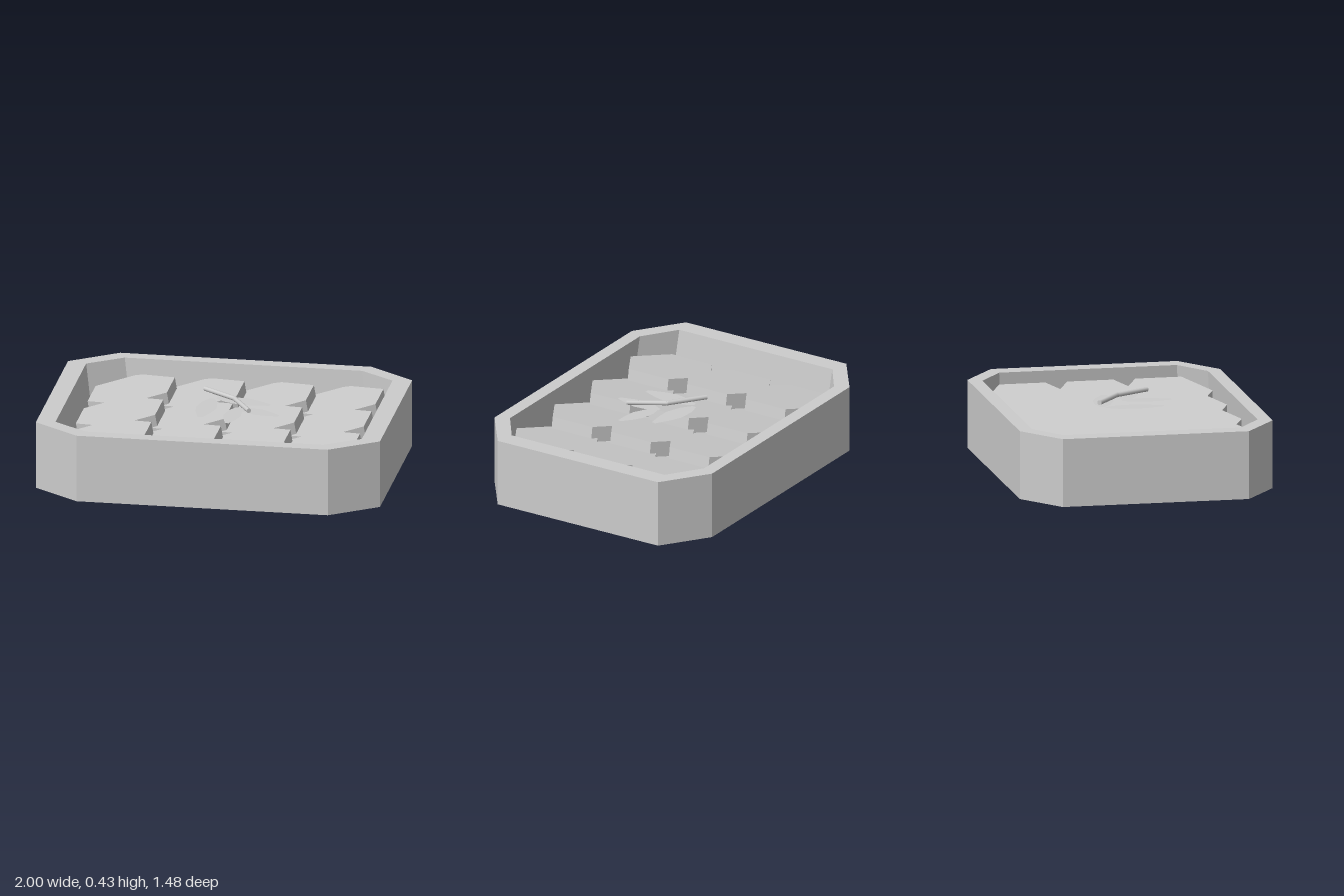
import * as THREE from 'three';

const mat = new THREE.MeshStandardMaterial({ color: 0xcccccc, flatShading: true, side: THREE.DoubleSide });
const smooth = new THREE.MeshStandardMaterial({ color: 0xcccccc });

// chamfered rectangle as [x, z] corners: half sizes X, Z and where the chamfers begin
function octagon(X, Z, cx, cz, dx = 0, dz = 0) {
  return [[X, -cz], [X, cz], [cx, Z], [-cx, Z], [-X, cz], [-X, -cz], [-cx, -Z], [cx, -Z]]
    .map(([x, z]) => [x + dx, z + dz]);
}

// strip of quads joining two octagons at their own heights
function band(lower, y0, upper, y1) {
  const pos = [];
  lower.forEach((p, i) => {
    const j = (i + 1) % lower.length;
    const a = [p[0], y0, p[1]], b = [lower[j][0], y0, lower[j][1]];
    const c = [upper[j][0], y1, upper[j][1]], d = [upper[i][0], y1, upper[i][1]];
    pos.push(...a, ...d, ...c, ...a, ...c, ...b);
  });
  const g = new THREE.BufferGeometry();
  g.setAttribute('position', new THREE.Float32BufferAttribute(pos, 3));
  g.computeVertexNormals();
  return g;
}

// flat horizontal sheet from [x, z] corners
function sheet(points, y) {
  const shape = new THREE.Shape(points.map(([x, z]) => new THREE.Vector2(x, -z)));
  return new THREE.ShapeGeometry(shape).rotateX(-Math.PI / 2).translate(0, y, 0);
}

// leaf outline from base to tip
function leafOutline([bx, bz], [tx, tz], w) {
  const L = Math.hypot(tx - bx, tz - bz), ux = (tx - bx) / L, uz = (tz - bz) / L;
  const side = [[0, 0.2], [0.2, 0.75], [0.5, 1], [0.72, 0.75], [1, 0.22]];
  const loop = [...side, ...side.map(([t, s]) => [t, -s]).reverse()];
  return loop.map(([t, s]) => [
    bx + ux * L * t - uz * s * w / 2,
    bz + uz * L * t + ux * s * w / 2,
  ]);
}

export function createModel() {
  const model = new THREE.Group();
  const add = (name, geometry, material = mat, parent = model) => {
    const mesh = new THREE.Mesh(geometry, material);
    mesh.name = name;
    parent.add(mesh);
    return mesh;
  };

  // tray: outer wall, flat rim and a slightly slanted well, open underneath
  const TOP = 0.397, FLOOR = 0.165, WELL = 0.02;
  const outer = octagon(1, 0.74, 0.73, 0.545);
  const inner = (y) => octagon(0.89, 0.66, 0.69, 0.52, (TOP - y) * 0.125, (TOP - y) * 0.075);
  add('outerWall', band(outer, 0, outer, TOP));
  add('rim', band(outer, TOP, inner(TOP), TOP));
  add('wellWall', band(inner(TOP), TOP, inner(WELL), WELL));
  add('floor', sheet(inner(FLOOR), FLOOR));

  // overlapping hexagonal tiles, each raised toward +x
  const tiles = new THREE.Group();
  tiles.name = 'tiles';
  model.add(tiles);
  const THICK = 0.09, TILT = 0.17;
  const hexagon = new THREE.CylinderGeometry(0.27, 0.27, THICK, 6).translate(0, -THICK / 2, 0);
  for (let col = 0; col < 4; col++) {
    for (let row = 0; row < 3; row++) {
      const tile = add('tile', hexagon, mat, tiles);
      tile.position.set(-0.607 + col * 0.404, 0.3, -0.396 + row * 0.398);
      tile.rotation.z = TILT;
    }
  }

  // bent twig made of two round lengths
  const bend = [[-0.13, -0.145], [0.06, -0.005], [0.175, 0.19]]
    .map(([x, z]) => new THREE.Vector3(x, 0.416, z));
  for (let i = 0; i < 2; i++) {
    const dir = bend[i + 1].clone().sub(bend[i]);
    const twig = add('twig', new THREE.CylinderGeometry(0.014, 0.014, dir.length() + 0.012, 10), smooth);
    twig.position.copy(bend[i]).lerp(bend[i + 1], 0.5);
    twig.quaternion.setFromUnitVectors(new THREE.Vector3(0, 1, 0), dir.normalize());
  }

  // flat leaves lying below the twig
  [
    [[-0.06, -0.115], [0.26, -0.04], 0.12],
    [[0.09, 0.045], [0.34, 0.14], 0.1],
    [[-0.085, -0.1], [-0.1, 0.235], 0.12],
    [[0.085, 0.03], [0.07, 0.315], 0.1],
  ].forEach(([base, tip, width]) => add('leaf', sheet(leafOutline(base, tip, width), 0.375)));

  return model;
}
